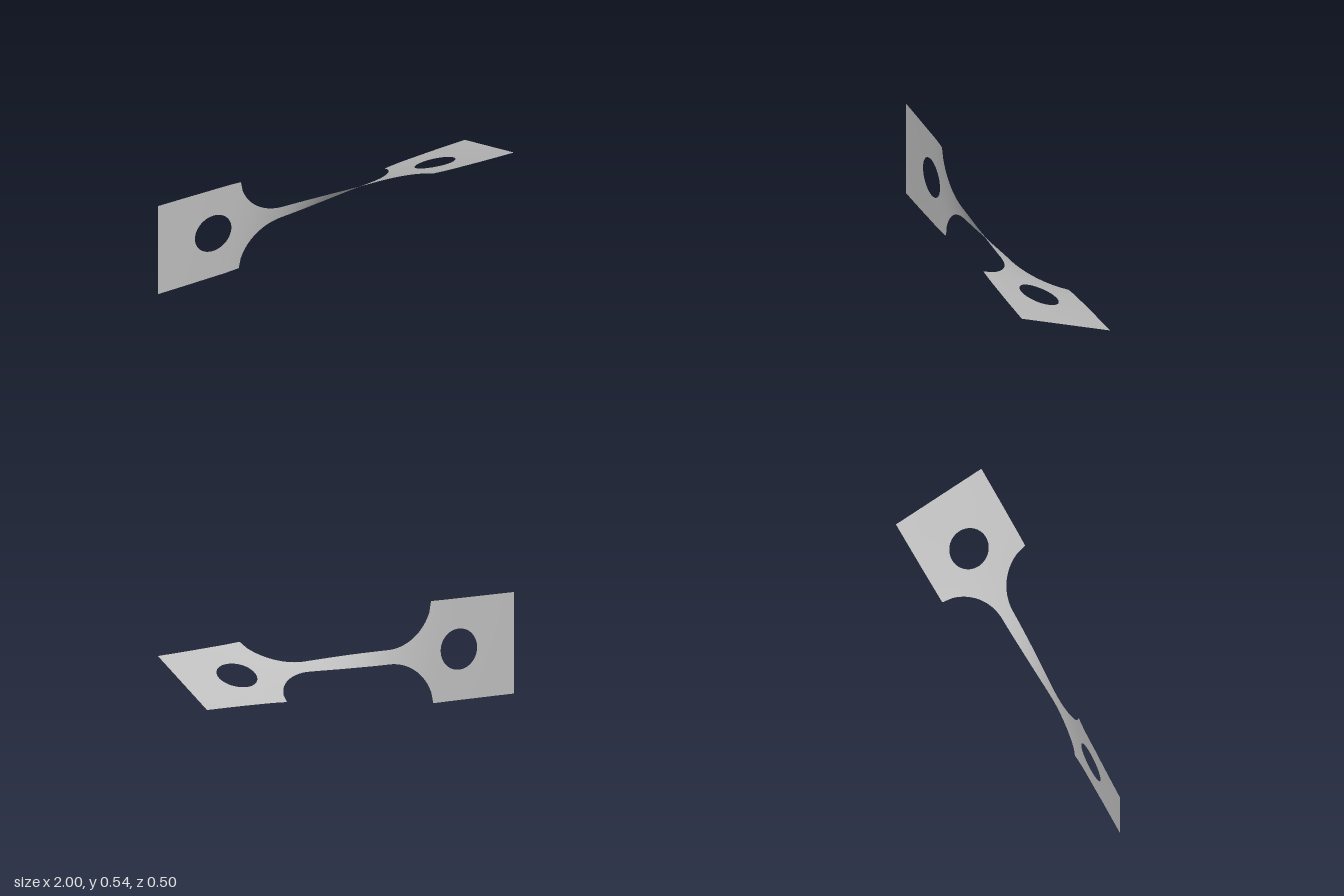
import * as THREE from 'three';
import { mergeVertices } from 'three/addons/utils/BufferGeometryUtils.js';

const HALF = 0.27;    // half width of the end tabs
const CORNER = 0.51;  // where each tab meets its fillet
const NECK = 0.25;    // where each fillet meets the neck
const HOLE_X = 0.67, HOLE_R = 0.109;
const FILLET_R = 0.265, FILLET_Y = 0.3025;

// Twist (degrees), centre height and centre depth along the length
const stations = [-1, -0.75, -0.5, -0.25, 0, 0.25, 0.5, 0.75, 1];
const samples = [
  0, 0.27, 0,
  0.7, 0.271, 0.004,
  2.7, 0.272, 0.007,
  13, 0.273, 0.008,
  35, 0.276, 0.008,
  56, 0.278, 0.006,
  64.5, 0.279, 0.004,
  67.5, 0.277, 0.002,
  69, 0.274, 0,
];

// Half width of the outline at x
function outline(x) {
  const a = Math.abs(x);
  if (a >= CORNER) return HALF;
  const d = Math.max(0, a - NECK);
  return Math.min(HALF, FILLET_Y - Math.sqrt(FILLET_R ** 2 - d * d));
}

// Half height of the round hole at x
function holeHalf(x) {
  return Math.sqrt(Math.max(0, HOLE_R ** 2 - (Math.abs(x) - HOLE_X) ** 2));
}

// Columns along the length, packed closer where the outline curves
function columns() {
  const side = [];
  const add = (from, to, n, ease) => {
    for (let i = 0; i < n; i++) side.push(from + (to - from) * ease(i / n));
  };
  const linear = (t) => t;
  const round = (t) => (1 - Math.cos(Math.PI * t)) / 2;
  add(1, HOLE_X + HOLE_R, 8, linear);
  add(HOLE_X + HOLE_R, HOLE_X - HOLE_R, 32, round);
  add(HOLE_X - HOLE_R, CORNER, 4, linear);
  add(CORNER, NECK, 24, (t) => Math.sin((Math.PI / 2) * t * 0.5) + t * (1 - Math.SQRT1_2));
  add(NECK, 0, 14, linear);
  return [...side.map((x) => -x), 0, ...side.reverse()];
}

// Flat strip with two holes, twisted about its long axis
function twistedStrip() {
  const xs = columns(), rows = 6;
  const bend = new THREE.CubicInterpolant(stations, samples, 3, new Float32Array(3));
  const positions = [], index = [];
  for (const side of [1, -1]) {
    const base = positions.length / 3;
    xs.forEach((x, i) => {
      const [deg, cy, cz] = bend.evaluate(x);
      const angle = THREE.MathUtils.degToRad(deg);
      const inner = holeHalf(x), outer = outline(x);
      for (let j = 0; j <= rows; j++) {
        const v = side * (inner + (outer - inner) * j / rows);
        positions.push(x, cy + v * Math.cos(angle), cz + v * Math.sin(angle));
        if (i === 0 || j === 0) continue;
        const d = base + i * (rows + 1) + j, c = d - 1;
        const b = d - rows - 1, a = b - 1;
        if (side > 0) index.push(a, c, d, a, d, b);
        else index.push(a, d, c, a, b, d);
      }
    });
  }
  const geometry = new THREE.BufferGeometry();
  geometry.setAttribute('position', new THREE.Float32BufferAttribute(positions, 3));
  geometry.setIndex(index);
  const merged = mergeVertices(geometry, 1e-5);
  merged.computeVertexNormals();
  return merged;
}

export function createModel() {
  const group = new THREE.Group();
  group.name = 'twistedLink';
  const metal = new THREE.MeshStandardMaterial({ color: 0xbfbfbf, side: THREE.DoubleSide });
  metal.name = 'light grey metal';
  const strip = new THREE.Mesh(twistedStrip(), metal);
  strip.name = 'twistedStrip';
  group.add(strip);
  return group;
}
